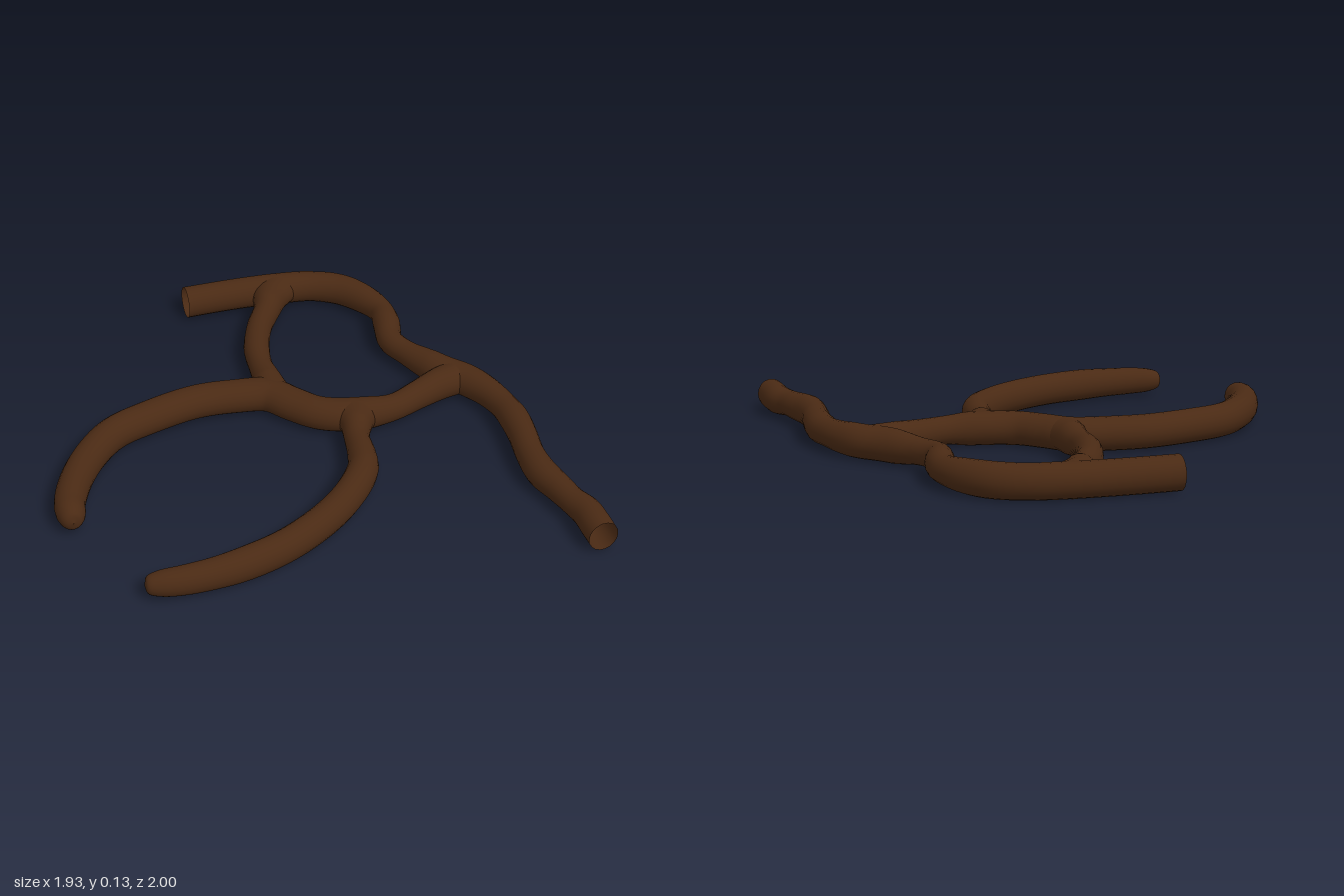
import * as THREE from 'three';

const MID = 0.068;      // height of every centre line
const MAX_HALF = 0.066; // greatest half-thickness in y
const SIDES = 18;

// Each path point is [x, z, radius]; the radius rides in the curve's y slot.
function branch(name, points, material) {
  const curve = new THREE.CatmullRomCurve3(points.map(([x, z, r]) => new THREE.Vector3(x, r, z)));
  const rings = points.length * 6;
  const pos = [], index = [];
  for (let i = 0; i <= rings; i++) {
    const t = i / rings;
    const p = curve.getPoint(t);
    const d = curve.getTangent(t).setY(0).normalize();
    const r = Math.max(p.y, 0.001);
    const h = Math.min(r * 1.08, MAX_HALF);
    for (let j = 0; j <= SIDES; j++) {
      const a = (j / SIDES) * Math.PI * 2;
      const s = Math.cos(a) * r;
      pos.push(p.x + d.z * s, MID + Math.sin(a) * h, p.z - d.x * s);
      if (i < rings && j < SIDES) {
        const k = i * (SIDES + 1) + j, n = k + SIDES + 1;
        index.push(k, k + 1, n, k + 1, n + 1, n);
      }
    }
  }
  const geo = new THREE.BufferGeometry();
  geo.setAttribute('position', new THREE.Float32BufferAttribute(pos, 3));
  geo.setIndex(index);
  geo.computeVertexNormals();
  // Share the normal across the lengthwise seam
  const nor = geo.attributes.normal;
  for (let i = 0; i <= rings; i++) {
    const a = i * (SIDES + 1), b = a + SIDES;
    const v = new THREE.Vector3().fromBufferAttribute(nor, a)
      .add(new THREE.Vector3().fromBufferAttribute(nor, b)).normalize();
    nor.setXYZ(a, v.x, v.y, v.z);
    nor.setXYZ(b, v.x, v.y, v.z);
  }
  const mesh = new THREE.Mesh(geo, material);
  mesh.name = name;
  return mesh;
}

export function createModel() {
  const group = new THREE.Group();
  group.name = 'branchingRoot';
  const bark = new THREE.MeshStandardMaterial({ color: 0x4a2a14, side: THREE.DoubleSide });

  // Knobbly main stem, cut open at both ends
  group.add(branch('mainStem', [
    [-0.14, -0.937, 0.063], [0, -0.938, 0.062], [0.12, -0.935, 0.062], [0.25, -0.925, 0.064],
    [0.4, -0.9, 0.06], [0.51, -0.84, 0.062], [0.585, -0.74, 0.058], [0.623, -0.63, 0.05],
    [0.613, -0.53, 0.056], [0.588, -0.41, 0.05], [0.622, -0.31, 0.048], [0.67, -0.22, 0.058],
    [0.725, -0.13, 0.068], [0.785, -0.06, 0.064], [0.835, 0.04, 0.057], [0.86, 0.14, 0.053],
    [0.868, 0.24, 0.058], [0.86, 0.34, 0.056], [0.84, 0.47, 0.055], [0.838, 0.58, 0.058],
    [0.863, 0.69, 0.053], [0.88, 0.77, 0.05], [0.903, 0.85, 0.056], [0.905, 0.93, 0.058],
    [0.905, 1, 0.057]], bark));

  // Upper arm from its rounded tip, across the middle and into the stem
  group.add(branch('upperArm', [
    [-0.915, 0.357, 0.001], [-0.915, 0.345, 0.033], [-0.912, 0.31, 0.052], [-0.903, 0.24, 0.059],
    [-0.85, 0.11, 0.062], [-0.765, -0.02, 0.064], [-0.645, -0.135, 0.065], [-0.49, -0.195, 0.068],
    [-0.29, -0.24, 0.07], [-0.13, -0.23, 0.069], [0, -0.2, 0.072], [0.075, -0.11, 0.07],
    [0.155, -0.025, 0.066], [0.27, 0.02, 0.068], [0.43, 0.028, 0.052], [0.56, -0.022, 0.055],
    [0.66, -0.065, 0.063], [0.74, -0.09, 0.075]], bark));

  // Lower arm, flaring where it joins the middle
  group.add(branch('lowerArm', [
    [-0.752, 0.765, 0.001], [-0.742, 0.766, 0.03], [-0.7, 0.77, 0.045], [-0.62, 0.778, 0.052],
    [-0.5, 0.775, 0.056], [-0.38, 0.757, 0.06], [-0.21, 0.705, 0.06], [-0.03, 0.605, 0.06],
    [0.1, 0.495, 0.06], [0.2, 0.365, 0.06], [0.225, 0.28, 0.055], [0.243, 0.17, 0.05],
    [0.268, 0.09, 0.065], [0.285, 0.03, 0.1]], bark));

  // Curved link from the stem to the upper arm, flaring at both ends
  group.add(branch('linkBranch', [
    [0.27, -0.93, 0.085], [0.215, -0.87, 0.075], [0.17, -0.78, 0.056], [0.1, -0.66, 0.052],
    [0.045, -0.51, 0.053], [0.027, -0.39, 0.049], [0.025, -0.31, 0.056], [0.02, -0.25, 0.066],
    [0.015, -0.18, 0.08]], bark));

  return group;
}
